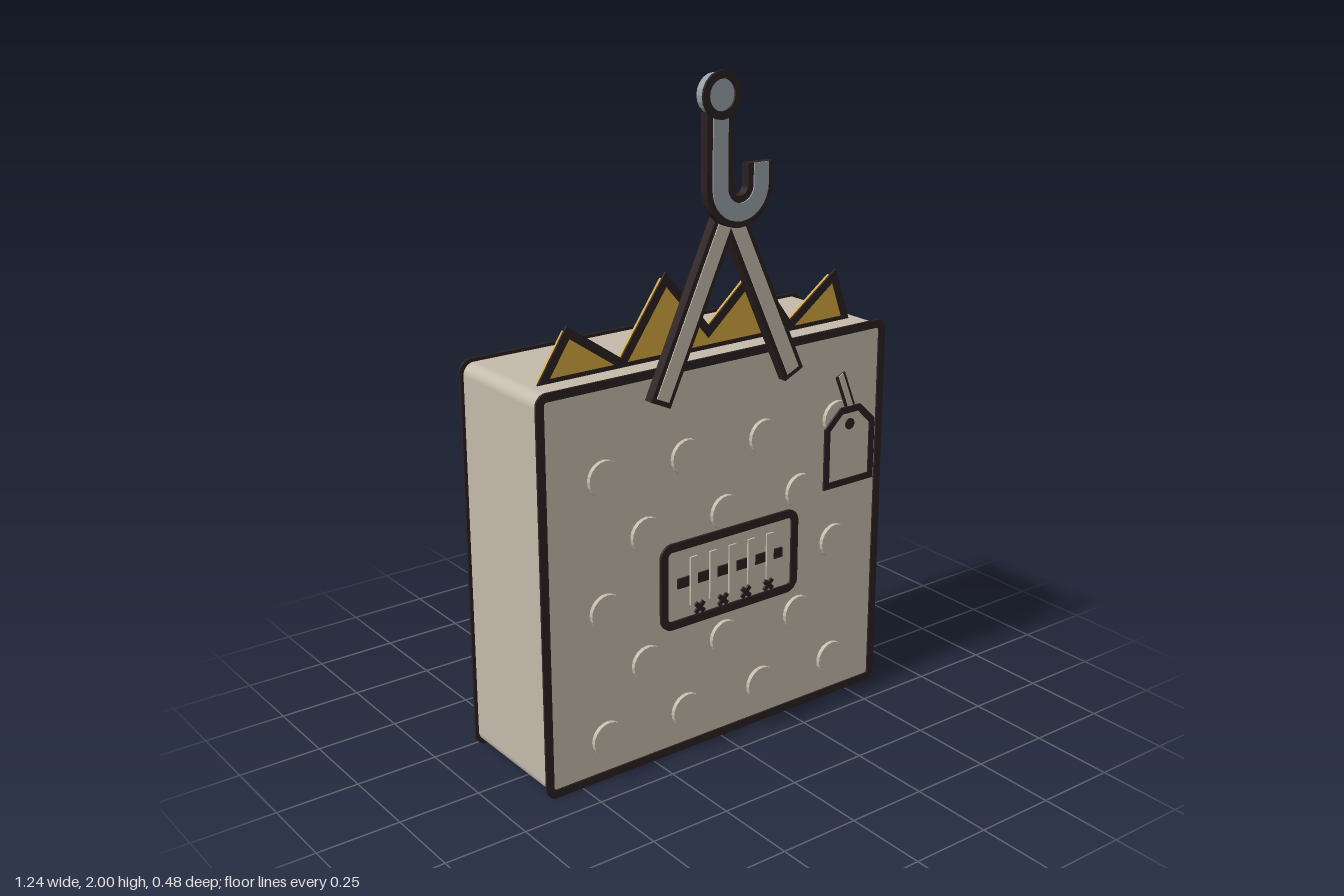
import * as THREE from 'three';

const mat = (name, color) => Object.assign(new THREE.MeshStandardMaterial({ color }), { name });
const V = (x, y) => new THREE.Vector2(x, y);

// Offset a polyline sideways by d with mitred joins
function offset(pts, d, closed) {
  const n = pts.length;
  return pts.map((p, i) => {
    const prev = closed || i > 0 ? pts[(i - 1 + n) % n] : null;
    const next = closed || i < n - 1 ? pts[(i + 1) % n] : null;
    const a = prev ? p.clone().sub(prev).normalize() : next.clone().sub(p).normalize();
    const b = next ? next.clone().sub(p).normalize() : a;
    const n1 = V(-a.y, a.x), n2 = V(-b.y, b.x);
    const m = n1.clone().add(n2).normalize();
    return p.clone().addScaledVector(m, d / Math.max(0.25, m.dot(n1)));
  });
}

// Band of the given width along an open or closed polyline
function band(pts, width, closed = false) {
  const left = offset(pts, width / 2, closed), right = offset(pts, -width / 2, closed);
  if (!closed) return new THREE.Shape([...left, ...right.reverse()]);
  const [outer, inner] = THREE.ShapeUtils.area(pts) > 0 ? [right, left] : [left, right];
  const s = new THREE.Shape(outer);
  s.holes.push(new THREE.Path(inner));
  return s;
}

// Rounded rectangle centred on (cx, cy)
function roundRect(cx, cy, w, h, r, Kind = THREE.Shape) {
  const s = new Kind(), x = w / 2 - r, y = h / 2 - r;
  s.absarc(cx + x, cy + y, r, 0, Math.PI / 2);
  s.absarc(cx - x, cy + y, r, Math.PI / 2, Math.PI);
  s.absarc(cx - x, cy - y, r, Math.PI, Math.PI * 1.5);
  s.absarc(cx + x, cy - y, r, Math.PI * 1.5, Math.PI * 2);
  s.closePath();
  return s;
}

function rectFrame(cx, cy, w, h, r, t) {
  const s = roundRect(cx, cy, w, h, r);
  s.holes.push(roundRect(cx, cy, w - 2 * t, h - 2 * t, Math.max(0.005, r - t), THREE.Path));
  return s;
}

function circle(cx, cy, r, hole = 0) {
  const s = new THREE.Shape().absarc(cx, cy, r, 0, Math.PI * 2);
  if (hole) s.holes.push(new THREE.Path().absarc(cx, cy, hole, 0, Math.PI * 2));
  return s;
}

export function createModel() {
  const root = new THREE.Group();
  root.name = 'hangingBlock';
  const tan = mat('tan', 0xc4baab), dark = mat('dark', 0x2a2020);
  const gold = mat('gold', 0xd3a640), steel = mat('steel', 0x979fa6);

  // Extrude a flat shape from z0 to z1
  const slab = (name, shape, z0, z1, material, parent = root) => {
    const g = new THREE.ExtrudeGeometry(shape, { depth: z1 - z0, bevelEnabled: false, curveSegments: 10 });
    g.translate(0, 0, z0);
    const m = new THREE.Mesh(g, material);
    m.name = name;
    parent.add(m);
    return m;
  };
  const group = (name) => {
    const g = new THREE.Group();
    g.name = name;
    root.add(g);
    return g;
  };

  // Block with dark front and back rims
  slab('body', roundRect(0, 0.6, 1.22, 1.18, 0.035), -0.232, 0.153, tan);
  const rim = rectFrame(0, 0.6, 1.24, 1.2, 0.035, 0.025);
  slab('frontRim', rim, 0.151, 0.158, dark);
  slab('backRim', rim, -0.238, -0.23, dark);

  // Staggered round studs
  const studs = group('studs');
  [0.14, 0.335, 0.535, 0.73, 0.93].forEach((y, row) => {
    const xs = row % 2 ? [-0.28, 0, 0.28] : [-0.42, -0.14, 0.14, 0.42];
    for (const x of xs) slab('stud', circle(x, y, 0.053), 0.169, 0.182, tan, studs);
  });

  // Jagged golden crest with dark outline
  const crest = [[-0.54, 1.19], [-0.455, 1.32], [-0.28, 1.2], [-0.13, 1.415], [0.02, 1.24],
    [0.185, 1.385], [0.32, 1.205], [0.49, 1.33], [0.54, 1.19]].map(p => V(...p));
  slab('crest', new THREE.Shape(crest), 0.035, 0.06, gold);
  slab('crestOutline', band(crest, 0.026, true), 0.06, 0.066, dark);

  // Sling straps meeting under the hook
  const sling = [V(-0.238, 1.103), V(0, 1.62), V(0.238, 1.103)];
  slab('sling', band(sling, 0.072), 0.157, 0.186, dark);
  const slingFace = [V(-0.232, 1.116), V(0, 1.62), V(0.232, 1.116)];
  slab('slingFace', band(slingFace, 0.044), 0.186, 0.189, tan);

  // Hook: J-shaped bar and round eye
  const hook = [V(-0.07, 1.89)];
  for (let i = 0; i <= 16; i++) {
    const a = Math.PI * (1 + i / 16);
    hook.push(V(0.07 * Math.cos(a), 1.685 + 0.07 * Math.sin(a)));
  }
  hook.push(V(0.07, 1.743));
  slab('hook', band(hook, 0.086), 0.2, 0.227, dark);
  slab('hookFace', band(hook, 0.05), 0.227, 0.231, steel);
  slab('hookEye', circle(-0.07, 1.935, 0.055), 0.195, 0.232, steel);
  slab('hookEyeRing', circle(-0.07, 1.935, 0.065, 0.043), 0.231, 0.238, dark);

  // Front panel with gauge line, bars and crosses
  const panel = group('panel');
  slab('panelFace', roundRect(0, 0.56, 0.47, 0.235, 0.03), 0.19, 0.196, tan, panel);
  slab('panelRim', rectFrame(0, 0.56, 0.504, 0.264, 0.04, 0.025), 0.194, 0.202, dark, panel);
  slab('gaugeLine', roundRect(0, 0.565, 0.385, 0.03, 0.001), 0.196, 0.202, dark, panel);
  for (let i = -2; i <= 2; i++)
    slab('gaugeBar', roundRect(i * 0.07, 0.565, 0.026, 0.15, 0.001), 0.203, 0.209, tan, panel);
  for (let i = 0; i < 4; i++) {
    const x = -0.127 + i * 0.0847, y = 0.483, s = 0.015;
    slab('cross', band([V(x - s, y - s), V(x + s, y + s)], 0.014), 0.213, 0.219, dark, panel);
    slab('cross', band([V(x - s, y + s), V(x + s, y - s)], 0.014), 0.214, 0.22, dark, panel);
  }

  // Hanging tag with string
  const tag = group('tag');
  const outline = [[0.335, 0.745], [0.51, 0.745], [0.51, 0.92], [0.458, 0.97], [0.388, 0.97], [0.335, 0.92]]
    .map(p => V(...p));
  slab('tagFace', new THREE.Shape(outline), 0.222, 0.226, tan, tag);
  slab('tagOutline', band(outline, 0.02, true), 0.224, 0.23, dark, tag);
  slab('tagHole', circle(0.422, 0.925, 0.017), 0.226, 0.23, dark, tag);
  const string = [V(0.385, 1.082), V(0.428, 0.975)];
  slab('string', band(string, 0.036), 0.219, 0.223, dark, tag);
  slab('stringFace', band(string, 0.018), 0.223, 0.226, tan, tag);

  return root;
}
